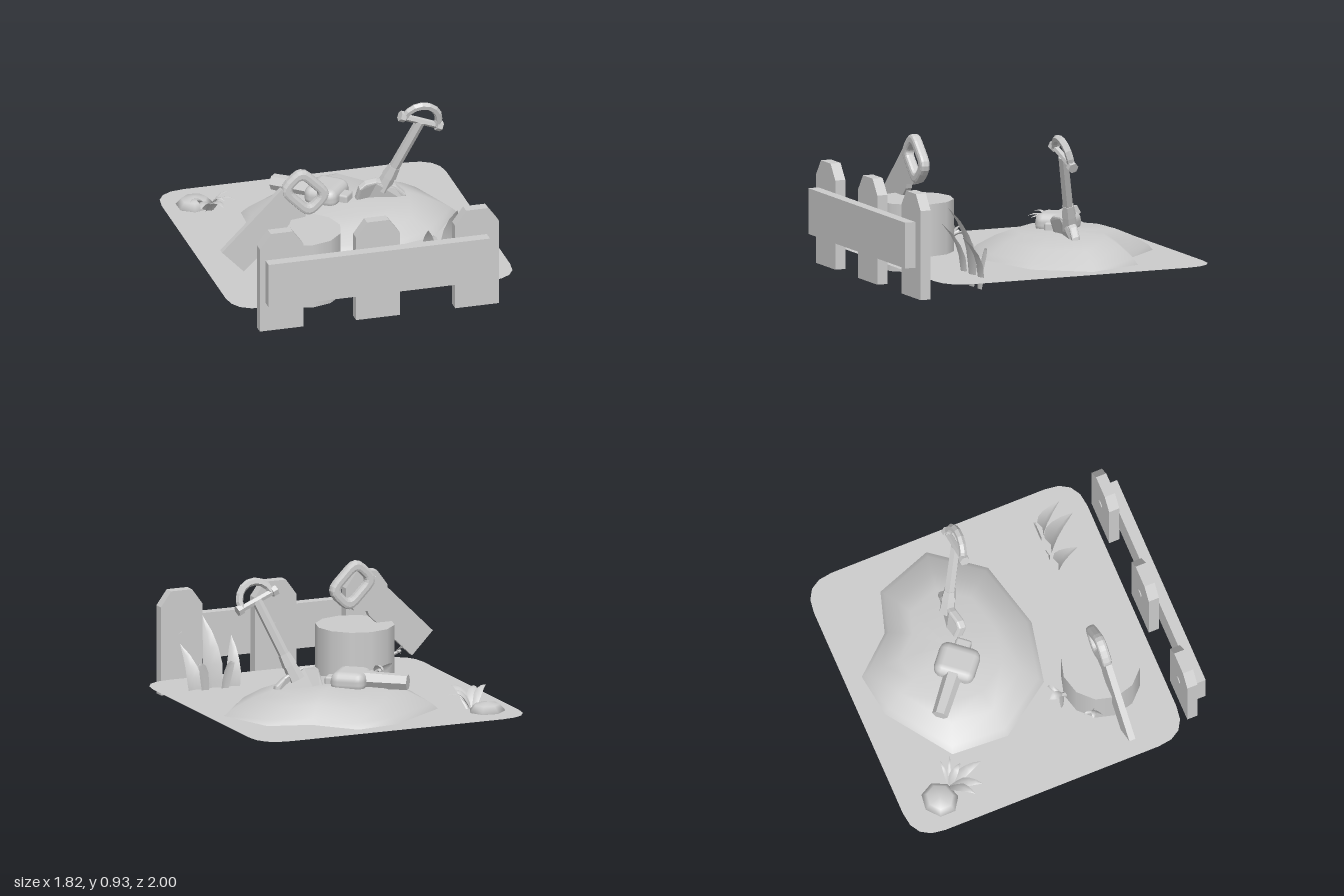
import * as THREE from 'three';
import { RoundedBoxGeometry } from 'three/addons/geometries/RoundedBoxGeometry.js';

const smooth = new THREE.MeshStandardMaterial({ color: 0xcccccc, side: THREE.DoubleSide });
const flat = new THREE.MeshStandardMaterial({ color: 0xcccccc, side: THREE.DoubleSide, flatShading: true });
const V = (x, y, z) => new THREE.Vector3(x, y, z);
const UP = V(0, 1, 0);

function add(parent, name, geometry, x = 0, y = 0, z = 0, material = smooth) {
  const mesh = new THREE.Mesh(geometry, material);
  mesh.name = name;
  mesh.position.set(x, y, z);
  parent.add(mesh);
  return mesh;
}

function group(parent, name, x = 0, y = 0, z = 0) {
  const g = new THREE.Group();
  g.name = name;
  g.position.set(x, y, z);
  parent.add(g);
  return g;
}

function polygon(points) {
  return new THREE.Shape(points.map(([x, y]) => new THREE.Vector2(x, y)));
}

function roundedRect(w, h, r, Type = THREE.Shape) {
  const s = new Type(), a = w / 2, b = h / 2;
  s.moveTo(-a + r, -b).lineTo(a - r, -b).quadraticCurveTo(a, -b, a, -b + r);
  s.lineTo(a, b - r).quadraticCurveTo(a, b, a - r, b);
  s.lineTo(-a + r, b).quadraticCurveTo(-a, b, -a, b - r);
  s.lineTo(-a, -b + r).quadraticCurveTo(-a, -b, -a + r, -b);
  return s;
}

function extrude(shape, depth, bevel = 0, curveSegments = 4) {
  const geo = new THREE.ExtrudeGeometry(shape, {
    depth: depth - 2 * bevel, curveSegments, bevelEnabled: bevel > 0,
    bevelThickness: bevel, bevelSize: bevel, bevelOffset: -bevel, bevelSegments: 2,
  });
  return geo.translate(0, 0, -(depth - 2 * bevel) / 2);
}

// Surface from rings of equal length
function loft(rings, closed) {
  const n = rings[0].length, pos = rings.flat().flatMap(p => [p.x, p.y, p.z]), idx = [];
  for (let k = 0; k < rings.length - 1; k++) {
    for (let i = 0; i < (closed ? n : n - 1); i++) {
      const j = (i + 1) % n, a = k * n + i, b = k * n + j, c = a + n, d = b + n;
      idx.push(a, c, b, b, c, d);
    }
  }
  const geo = new THREE.BufferGeometry();
  geo.setAttribute('position', new THREE.Float32BufferAttribute(pos, 3));
  geo.setIndex(idx);
  geo.computeVertexNormals();
  return geo;
}

// Curved, pointed leaf with a raised ridge; side is its width direction
function leaf(parent, name, base, mid, tip, width, side = V(1, 0, 0)) {
  const curve = new THREE.QuadraticBezierCurve3(base, mid, tip), rings = [];
  const profile = [0.6, 0.95, 1, 0.8, 0.48, 0.01];
  profile.forEach((f, k) => {
    const t = k / (profile.length - 1), p = curve.getPoint(t);
    const ridge = new THREE.Vector3().crossVectors(side, curve.getTangent(t)).normalize();
    const w = width * f / 2;
    rings.push([p.clone().addScaledVector(side, -w),
      p.clone().addScaledVector(ridge, w * 0.35), p.clone().addScaledVector(side, w)]);
  });
  return add(parent, name, loft(rings, false));
}

function fence(root) {
  const g = group(root, 'fence');
  const post = polygon([[-0.14, 0], [0.14, 0], [0.14, 0.555], [0.07, 0.65], [-0.07, 0.65], [-0.14, 0.555]]);
  for (const x of [-0.64, -0.025, 0.608]) {
    add(g, 'fencePost', extrude(post, 0.068), x, 0, 0.897);
    add(g, 'nail', new THREE.CylinderGeometry(0.03, 0.03, 0.01, 6).rotateX(Math.PI / 2), x, 0.36, 0.862);
  }
  add(g, 'fencePlank', new THREE.BoxGeometry(1.415, 0.285, 0.07), -0.037, 0.333, 0.965);
}

function mound(root) {
  const outline = [[-0.07, -0.85], [0.21, -0.89], [0.42, -0.65], [0.68, -0.57], [0.81, -0.21],
    [0.57, 0.1], [0.14, 0.21], [-0.25, 0.13], [-0.49, -0.21], [-0.47, -0.57]];
  const levels = [[1, 0.105], [0.94, 0.14], [0.75, 0.205], [0.56, 0.25], [0.001, 0.262]];
  const rings = levels.map(([s, y]) =>
    outline.map(([x, z]) => V(0.14 + (x - 0.14) * s, y, -0.34 + (z + 0.34) * s)));
  add(root, 'dirtMound', loft(rings, true));
}

function stump(root) {
  const g = group(root, 'stump', -0.375, 0, 0.455);
  add(g, 'stumpTrunk', new THREE.CylinderGeometry(0.245, 0.245, 0.42, 12), 0, 0.22, 0);
  // Sprigs growing from the bark
  for (const [angle, y, s] of [[-1.65, 0.17, 1], [-2.6, 0.25, 0.65]]) {
    const sprig = group(g, 'sprig', Math.cos(angle) * 0.23, y, Math.sin(angle) * 0.23);
    sprig.rotation.y = -angle;
    sprig.scale.setScalar(s);
    const twig = new THREE.CylinderGeometry(0.012, 0.018, 0.1, 5).rotateZ(-1.1);
    add(sprig, 'twig', twig, 0.04, 0.01, 0, flat);
    for (const k of [-1, 0, 1]) {
      leaf(sprig, 'sprigLeaf', V(0.03, 0, 0), V(0.08, 0.09 - 0.04 * Math.abs(k), k * 0.06),
        V(0.13 - 0.04 * Math.abs(k), 0.04 - 0.03 * k, k * 0.09), 0.055, V(0, 0.4, 0.92));
    }
  }
}

function saw(root) {
  const g = group(root, 'saw', 0, 0, 0.452);
  const blade = polygon([[-0.89, 0.345], [-0.75, 0.2], [-0.46, 0.48], [-0.45, 0.51],
    [-0.36, 0.52], [-0.34, 0.55], [-0.48, 0.71], [-0.51, 0.72]]);
  add(g, 'sawBlade', extrude(blade, 0.04));
  const grip = roundedRect(0.22, 0.29, 0.085);
  grip.holes.push(roundedRect(0.1, 0.17, 0.035, THREE.Path));
  add(g, 'sawHandle', extrude(grip, 0.062, 0.018), -0.355, 0.68, 0).rotation.z = 0.78;
}

function shovel(root) {
  const g = group(root, 'shovel', 0.55, 0.79, -0.125);
  g.quaternion.setFromUnitVectors(UP, V(0.42, 1, 0.29).normalize());
  const rod = (name, rt, rb, h, y) =>
    add(g, name, new THREE.CylinderGeometry(rt, rb, h, 6), 0, y, 0, flat);
  rod('shovelShaft', 0.032, 0.034, 0.42, -0.21);
  rod('shovelCollar', 0.037, 0.048, 0.08, -0.41);
  rod('shovelNeck', 0.04, 0.052, 0.12, -0.49);
  // D-shaped grip
  const bar = (name, r, h, x) =>
    add(g, name, new THREE.CylinderGeometry(r, r, h, 6).rotateZ(Math.PI / 2), x, 0, 0, flat);
  bar('gripBar', 0.022, 0.27, 0);
  for (const s of [-1, 1]) bar('gripKnob', 0.034, 0.035, s * 0.128);
  add(g, 'gripArch', new THREE.TorusGeometry(0.113, 0.024, 6, 8, Math.PI), 0, 0, 0, flat).scale.y = 1.05;
  // Scooped blade
  const shape = polygon([[-0.14, 0], [-0.07, 0.025], [0, 0.03], [0.07, 0.025], [0.14, 0],
    [0.165, -0.04], [0.14, -0.15], [0.07, -0.25], [0, -0.28], [-0.07, -0.25], [-0.14, -0.15], [-0.165, -0.04]]);
  const blade = extrude(shape, 0.055, 0.012), p = blade.attributes.position;
  for (let i = 0; i < p.count; i++) p.setZ(i, p.getZ(i) + 1.4 * p.getX(i) ** 2);
  blade.computeVertexNormals();
  add(g, 'shovelBlade', blade, 0, -0.52, 0);
}

// Mallet lying on the mound
function mallet(root) {
  const g = group(root, 'mallet', 0.01, 0.285, -0.34);
  g.rotation.y = -0.69;
  add(g, 'malletHandle', new THREE.CylinderGeometry(0.05, 0.06, 0.36, 6).rotateZ(Math.PI / 2), -0.18, 0.005, 0, flat);
  add(g, 'malletHead', new RoundedBoxGeometry(0.22, 0.13, 0.26, 2, 0.055));
  add(g, 'malletStub', new RoundedBoxGeometry(0.1, 0.07, 0.1, 1, 0.015), 0.11, -0.015, 0);
}

function plants(root) {
  // Tall leafy plant: base x, tip x, tip height, tip z, width
  const tall = group(root, 'tallPlant');
  for (const [bx, tx, ty, tz, w] of [[0.43, 0.385, 0.4, 0.62, 0.1],
    [0.56, 0.56, 0.53, 0.66, 0.13], [0.68, 0.72, 0.37, 0.64, 0.1]]) {
    leaf(tall, 'tallLeaf', V(bx, 0.03, 0.5), V(bx, ty * 0.62, 0.46), V(tx, ty, tz), w);
  }
  for (const s of [-1, 1]) {
    leaf(tall, 'hookedLeaf', V(0.56 + s * 0.06, 0.05, 0.48), V(0.56 + s * 0.09, 0.33, 0.43),
      V(0.56 + s * 0.12, 0.27, 0.46), 0.06);
  }
  // Grass tuft beside the stone
  const tuft = group(root, 'grassTuft');
  for (const [x, z, y, w] of [[-0.8, -0.555, 0.22, 0.06], [-0.75, -0.485, 0.2, 0.07], [-0.615, -0.44, 0.21, 0.07],
    [-0.575, -0.56, 0.2, 0.05], [-0.5, -0.6, 0.18, 0.02], [-0.51, -0.67, 0.2, 0.02]]) {
    const side = V(-(z + 0.67), 0, x + 0.65).normalize();
    leaf(tuft, 'grassBlade', V(-0.65, 0.08, -0.67), V((x - 0.65) / 2, 0.25, (z - 0.67) / 2), V(x, y, z), w, side);
  }
  const stone = add(root, 'stone', new THREE.SphereGeometry(1, 7, 4), -0.715, 0.11, -0.755);
  stone.scale.set(0.12, 0.055, 0.11);
  stone.rotation.y = 0.5;
}

export function createModel() {
  const root = new THREE.Group();
  root.name = 'diggingSite';
  const ground = new THREE.ShapeGeometry(roundedRect(1.82, 1.82, 0.2), 4).rotateX(-Math.PI / 2);
  add(root, 'ground', ground, 0, 0.105, -0.09);
  for (const build of [fence, mound, stump, saw, shovel, mallet, plants]) build(root);
  return root;
}
